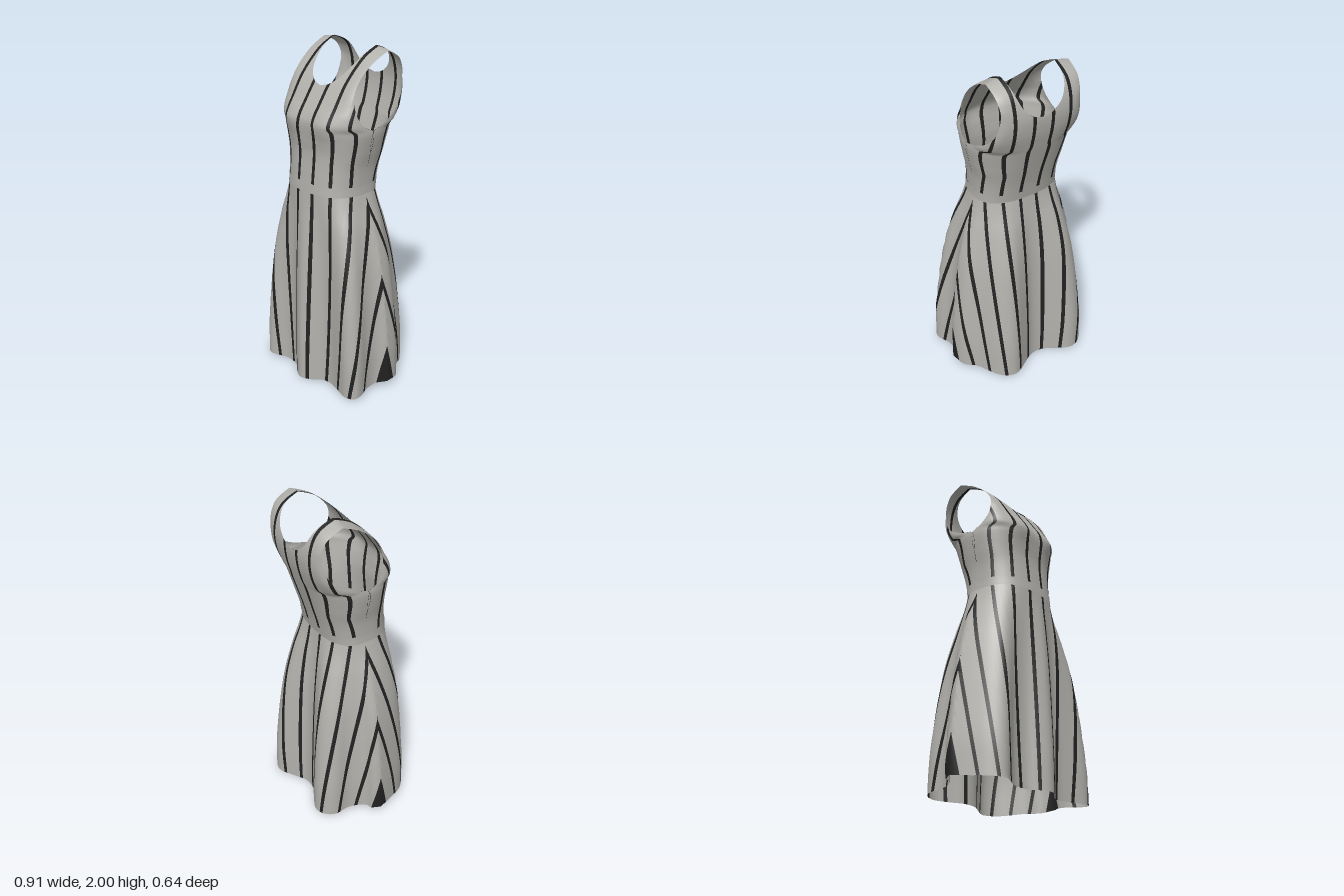
import * as THREE from 'three';
import { mergeVertices } from 'three/addons/utils/BufferGeometryUtils.js';

// smooth interpolation through [y, value] keys
function profile(keys) {
  const slope = i => {
    const a = keys[Math.max(i - 1, 0)], b = keys[Math.min(i + 1, keys.length - 1)];
    return (b[1] - a[1]) / (b[0] - a[0]);
  };
  return y => {
    let i = 0;
    while (i < keys.length - 2 && y > keys[i + 1][0]) i++;
    const [y0, v0] = keys[i], [y1, v1] = keys[i + 1], h = y1 - y0;
    const t = THREE.MathUtils.clamp((y - y0) / h, 0, 1), t2 = t * t, t3 = t2 * t;
    return v0 * (2 * t3 - 3 * t2 + 1) + v1 * (3 * t2 - 2 * t3)
      + h * slope(i) * (t3 - 2 * t2 + t) + h * slope(i + 1) * (t3 - t2);
  };
}

// bodice profiles: centre front and back depth, side edge width and depth (seam, then armhole)
const frontZ = profile([[1.2, .25], [1.3, .24], [1.42, .23], [1.5, .235], [1.6, .24], [1.65, .222], [1.7, .19],
  [1.8, .122], [1.85, .08], [1.9, .03], [1.95, -.03], [1.98, -.085], [2, -.135]]);
const backZ = profile([[1.2, -.15], [1.3, -.172], [1.4, -.2], [1.5, -.23], [1.6, -.26], [1.7, -.285], [1.8, -.292],
  [1.9, -.268], [1.95, -.236], [1.98, -.19], [2, -.135]]);
const edgeX = profile([[1.2, .257], [1.25, .256], [1.35, .264], [1.45, .285], [1.55, .302], [1.6, .296], [1.65, .282],
  [1.75, .258], [1.85, .248], [1.95, .254], [2, .258]]);
const edgeFront = profile([[1.2, .02], [1.4, .015], [1.57, .01], [1.6, .065], [1.65, .105], [1.7, .118], [1.75, .117],
  [1.8, .103], [1.85, .068], [1.9, .02], [1.95, -.038], [1.98, -.09], [2, -.135]]);
const edgeBack = profile([[1.2, .02], [1.4, .015], [1.57, .01], [1.6, -.08], [1.65, -.17], [1.7, -.22], [1.75, -.245],
  [1.85, -.262], [1.9, -.25], [1.95, -.222], [1.98, -.18], [2, -.135]]);
const neckX = profile([[1.79, 0], [1.797, .035], [1.81, .066], [1.84, .103], [1.87, .126], [1.93, .15], [2, .168]]);

// rounded half section from the right edge round to the left edge
function bodiceCurve(y, front) {
  const w = edgeX(y), zc = front ? frontZ(y) : backZ(y), ze = front ? edgeFront(y) : edgeBack(y);
  const pts = [];
  for (let i = -12; i <= 12; i++) {
    const a = i / 12 * Math.PI / 2;
    const x = w * Math.sign(i) * Math.abs(Math.sin(a)) ** .78;
    const z = ze + (zc - ze) * Math.max(0, Math.cos(a)) ** .78;
    pts.push(new THREE.Vector3(x + .006, 0, i === 12 || i === -12 ? ze : z));
  }
  return new THREE.CatmullRomCurve3(pts);
}

function bodiceRow(y, front) {
  const curve = bodiceCurve(y, front), half = curve.getLength() / 2;
  return {
    limit: Math.min(.4, half),
    inner: y > 1.79 ? neckX(y) : 0,
    at(u) {
      const p = curve.getPointAt((u + 1) / 2);
      const ax = Math.abs(p.x - .006);
      // soft bust
      if (front) p.z += .016 * (1 - u * u) * Math.exp(-(((ax - .14) / .07) ** 2) - ((y - 1.59) / .07) ** 2);
      // shoulder slopes down to the outside
      p.y = y - Math.max(0, ax - .168) * .2 * THREE.MathUtils.smoothstep(y, 1.85, 2);
      return p;
    },
  };
}

// wavy hem, right seam to left seam
const hemCurve = pts => new THREE.CatmullRomCurve3(pts.map(([x, z]) => new THREE.Vector3(x, 0, z)));
const hems = {
  front: hemCurve([[-.455, .02], [-.42, .12], [-.37, .23], [-.31, .28], [-.25, .262], [-.19, .236], [-.1, .245],
    [-.05, .285], [.02, .318], [.09, .29], [.14, .245], [.2, .236], [.3, .262], [.38, .284], [.435, .262],
    [.44, .215], [.412, .13], [.42, .05], [.455, .01]]),
  back: hemCurve([[-.455, .02], [-.44, -.025], [-.385, -.04], [-.335, -.14], [-.335, -.23], [-.3, -.285], [-.23, -.31],
    [-.14, -.27], [-.06, -.225], [.02, -.225], [.1, -.27], [.19, -.318], [.25, -.305], [.3, -.26], [.37, -.14],
    [.435, -.085], [.455, .01]]),
};
// arc fraction where a hem crosses the middle
function middle(curve) {
  let f = .3;
  while (curve.getPointAt(f).x < 0) f += .005;
  return f;
}
const mids = { front: middle(hems.front), back: middle(hems.back) };
const flare = profile([[0, 1], [.2, .98], [.4, .89], [.6, .77], [.8, .6], [1, .33], [1.1, .15], [1.15, .07], [1.2, 0]]);

function skirtRow(y, front) {
  const key = front ? 'front' : 'back', m = mids[key], t = flare(y), waist = bodiceCurve(1.2, front);
  return {
    limit: .39 + (1.2 - y) * .254,
    inner: 0,
    at(u) {
      const hem = hems[key].getPointAt(u < 0 ? (1 + u) * m : m + u * (1 - m));
      const p = waist.getPointAt((u + 1) / 2).lerp(hem, t);
      const lift = front ? .003 + .04 * u * u : .014 + .029 * u * u;
      p.y = y + lift * (1 - y / 1.2);
      return p;
    },
  };
}

// columns across half a panel: stripe edges with plain cloth between
const columns = [{ s: 0, striped: false }];
for (let k = 0; k < 6; k++) {
  const c = .058 + .117 * k, w = .0105, start = columns[columns.length - 1].s;
  for (let j = 1; j <= 4; j++) columns.push({ s: start + (c - w - start) * j / 4, striped: false });
  columns.push({ s: c + w, striped: true });
}

// cloth built from rows, cut off at the seams, armholes and neckline
function cloth(name, rowAt, y0, y1, rows, materials, stripes = true) {
  const pos = [], plain = [], dark = [];
  for (const front of [true, false]) {
    const lines = Array.from({ length: rows + 1 }, (_, i) => rowAt(y0 + (y1 - y0) * i / rows, front));
    for (const side of [1, -1]) {
      const base = pos.length / 3, n = columns.length;
      for (const row of lines) for (const c of columns) {
        const last = c === columns[n - 1];
        const s = last ? row.limit : Math.min(Math.max(c.s, row.inner), row.limit);
        pos.push(...row.at(side * s / row.limit).toArray());
      }
      const P = i => new THREE.Vector3().fromArray(pos, i * 3);
      const flip = front !== (side === 1);
      const tri = (list, a, b, c) => {
        if (new THREE.Triangle(P(a), P(b), P(c)).getArea() < 1e-9) return;
        list.push(...(flip ? [a, c, b] : [a, b, c]));
      };
      for (let i = 0; i < rows; i++) for (let j = 0; j < n - 1; j++) {
        const a = base + i * n + j, b = a + 1, c = b + n, d = a + n;
        const list = stripes && columns[j + 1].striped ? dark : plain;
        tri(list, a, b, c);
        tri(list, a, c, d);
      }
    }
  }
  let geo = new THREE.BufferGeometry();
  geo.setAttribute('position', new THREE.Float32BufferAttribute(pos, 3));
  geo.setIndex([...plain, ...dark]);
  geo = mergeVertices(geo, 1e-5);
  geo.addGroup(0, plain.length, 0);
  geo.addGroup(plain.length, dark.length, 1);
  geo.computeVertexNormals();
  const mesh = new THREE.Mesh(geo, materials);
  mesh.name = name;
  return mesh;
}

export function createModel() {
  const fabric = new THREE.MeshStandardMaterial({ color: 0xb2b1ac, side: THREE.DoubleSide });
  fabric.name = 'grey fabric';
  const stripe = new THREE.MeshStandardMaterial({ color: 0x222222, side: THREE.DoubleSide });
  stripe.name = 'black stripe';
  const materials = [fabric, stripe];

  const dress = new THREE.Group();
  dress.name = 'dress';
  dress.add(cloth('bodice', bodiceRow, 1.25, 2, 75, materials));
  dress.add(cloth('skirt', skirtRow, 0, 1.2, 48, materials));
  const band = cloth('waistband', bodiceRow, 1.197, 1.253, 4, materials, false);
  band.scale.set(1.012, 1, 1.012);
  dress.add(band);
  return dress;
}
